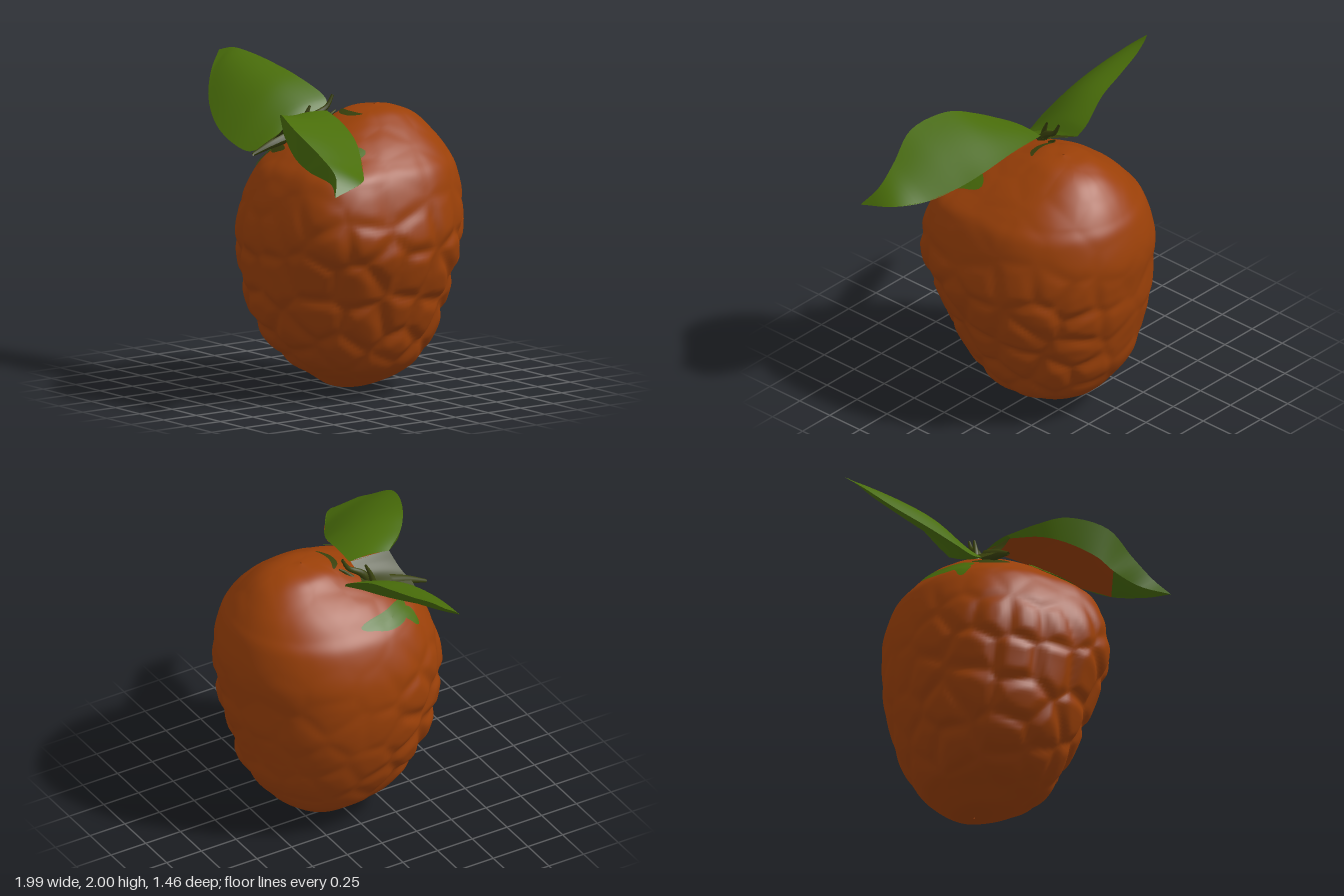
import * as THREE from 'three';

const V = (x, y, z) => new THREE.Vector3(x, y, z);
const spline = (pts) => new THREE.CatmullRomCurve3(pts.map((p) => V(...p)), false, 'centripetal');
const smooth = THREE.MathUtils.smoothstep;

// Fruit outline from bottom to top: y, xMin, xMax, zFront, zBack
const rings = [
  [0.0, 0.05, 0.06, -0.07, -0.08], [0.025, -0.06, 0.18, 0.07, -0.22], [0.1, -0.17, 0.36, 0.2, -0.35],
  [0.2, -0.28, 0.51, 0.36, -0.46], [0.4, -0.39, 0.61, 0.53, -0.59], [0.6, -0.46, 0.69, 0.61, -0.64],
  [0.8, -0.5, 0.76, 0.65, -0.69], [1.0, -0.51, 0.8, 0.68, -0.71], [1.2, -0.49, 0.77, 0.65, -0.73],
  [1.4, -0.42, 0.71, 0.56, -0.69], [1.5, -0.34, 0.63, 0.46, -0.64], [1.6, -0.24, 0.52, 0.32, -0.57],
  [1.7, -0.09, 0.38, 0.1, -0.47], [1.755, 0.0, 0.28, -0.04, -0.35], [1.78, 0.14, 0.15, -0.19, -0.2],
];
const xLimits = new THREE.CatmullRomCurve3(rings.map((r) => V(r[1], r[2], r[0])), false, 'catmullrom', 0.5);
const zLimits = new THREE.CatmullRomCurve3(rings.map((r) => V(r[3], r[4], r[0])), false, 'catmullrom', 0.5);

// Smooth body: the front left corner is round below and square above; the back is narrower
function bodyPoint(theta, v) {
  const a = xLimits.getPoint(v), b = zLimits.getPoint(v);
  const c = Math.cos(theta), s = Math.sin(theta);
  const square = 0.4 * smooth(a.z, 0.6, 1.35) * (1 - 0.7 * smooth(a.z, 1.4, 1.6)) - 0.1;
  const corner = c > 0 && s > 0 ? square * Math.min(1, 4 * c * s) : 0;
  const sq = (n) => Math.sign(n) * Math.abs(n) ** (0.88 - corner);
  const taper = s < 0 ? 1 - (c > 0 ? 0.16 : 0.1) * s * s : 1;
  return V((a.x + a.y) / 2 + (a.y - a.x) / 2 * sq(c) * taper, a.z, (b.x + b.y) / 2 + (b.x - b.y) / 2 * sq(s));
}

// Seeded, evenly spaced centres for the knobbly skin
let seed = 7;
const random = () => (seed = (seed * 16807) % 2147483647) / 2147483647;
const cells = [];
for (let i = 0; i < 1500; i++) {
  const p = bodyPoint(random() * Math.PI * 2, 0.08 + 0.84 * random());
  if (cells.every((c) => c.distanceTo(p) > 0.19)) cells.push(p);
}

// Body pushed out in soft cells with creases between them
function fruitPoint(theta, v, lift = 0) {
  const p = bodyPoint(theta, v);
  let d1 = 9, d2 = 9;
  for (const c of cells) {
    const d = c.distanceTo(p);
    if (d < d1) { d2 = d1; d1 = d; } else if (d < d2) d2 = d;
  }
  const relief = smooth(d2 - d1, -0.03, 0.15) - 0.6;
  const backRightSmooth = 1 - 0.75 * smooth(-p.x - p.z, 0.1, 0.6);
  const mask = (1 - 0.9 * smooth(p.y, 0.85, 1.4)) * smooth(p.y, 0.05, 0.4) * backRightSmooth;
  const out = V(p.x - 0.14, (p.y - 0.95) * 0.6, p.z + 0.03).normalize();
  return p.addScaledVector(out, 0.034 * relief * mask + lift);
}

// Grid surface from a function of (u, v); optionally closed around u
function surface(fn, nu, nv, closed = false) {
  const pos = [], index = [], w = closed ? nu : nu + 1;
  for (let j = 0; j <= nv; j++) for (let i = 0; i < w; i++) pos.push(...fn(i / nu, j / nv).toArray());
  for (let j = 0; j < nv; j++) for (let i = 0; i < nu; i++) {
    const a = j * w + i, b = j * w + (i + 1) % w;
    index.push(a, a + w, b, b, a + w, b + w);
  }
  const g = new THREE.BufferGeometry();
  g.setAttribute('position', new THREE.Float32BufferAttribute(pos, 3));
  g.setIndex(index);
  g.computeVertexNormals();
  return g;
}

// Curved sheet stretched between two edge curves, bulging by camber
function sheet(edgeA, edgeB, camber) {
  const a = spline(edgeA), b = spline(edgeB);
  return surface((u, v) => {
    const p = a.getPoint(u).lerp(b.getPoint(u), v);
    p.y += camber * Math.sin(Math.PI * v) * Math.sin(Math.PI * Math.min(1, u + 0.15));
    return p;
  }, 32, 14);
}

// Tube that narrows to its tip
function taperedTube(points, radius) {
  const curve = spline(points), n = 14;
  const g = new THREE.TubeGeometry(curve, n, radius, 8);
  const pos = g.attributes.position, p = V(0, 0, 0);
  for (let i = 0; i < pos.count; i++) {
    const t = Math.floor(i / 9) / n, c = curve.getPointAt(t);
    p.fromBufferAttribute(pos, i).sub(c).multiplyScalar(1 - 0.75 * t).add(c);
    pos.setXYZ(i, p.x, p.y, p.z);
  }
  g.computeVertexNormals();
  return g;
}

export function createModel() {
  const group = new THREE.Group();
  const mat = (name, color) => Object.assign(new THREE.MeshStandardMaterial({ color, side: THREE.DoubleSide }), { name });
  const orange = mat('orangeSkin', 0x9b4008);
  const green = mat('leafGreen', 0x496d0a);
  const olive = mat('darkOlive', 0x38400c);
  const add = (name, geometry, material) => {
    const mesh = new THREE.Mesh(geometry, material);
    mesh.name = name;
    group.add(mesh);
  };

  add('fruit', surface((u, v) => fruitPoint(u * Math.PI * 2, v), 180, 140, true), orange);

  // Right leaf: arched top and a shallow underside
  const rightBack = [[-0.14, 1.72, -0.05], [-0.2, 1.78, -0.07], [-0.4, 1.88, -0.02], [-0.6, 1.935, 0.01],
    [-0.8, 1.98, 0.05], [-0.93, 2, 0.1], [-1, 1.98, 0.15]];
  const rightFront = [[-0.19, 1.51, 0.44], [-0.27, 1.49, 0.47], [-0.42, 1.53, 0.49], [-0.6, 1.61, 0.47],
    [-0.8, 1.74, 0.38], [-0.93, 1.88, 0.26], [-1, 1.98, 0.15]];
  add('rightLeafTop', sheet(rightBack, rightFront, 0.09), green);
  add('rightLeafUnderside', sheet(rightBack, rightFront, -0.035), green);

  // Left leaf: top rising to a ridge, a lip curling down in front, skin-coloured beneath
  const leftBack = [[0.04, 1.75, 0.09], [0.25, 1.71, 0.13], [0.45, 1.64, 0.18], [0.6, 1.57, 0.25],
    [0.78, 1.5, 0.36], [0.94, 1.48, 0.49], [0.99, 1.42, 0.73]];
  const leftRidge = [[0.03, 1.74, 0.37], [0.15, 1.78, 0.53], [0.3, 1.82, 0.63], [0.55, 1.77, 0.71],
    [0.75, 1.64, 0.67], [0.9, 1.53, 0.66], [0.99, 1.42, 0.73]];
  const leftLip = [[0.05, 1.72, 0.38], [0.18, 1.7, 0.53], [0.32, 1.66, 0.61], [0.5, 1.58, 0.67],
    [0.62, 1.52, 0.66], [0.82, 1.47, 0.64], [0.99, 1.42, 0.73]];
  add('leftLeafTop', sheet(leftBack, leftRidge, 0.025), green);
  add('leftLeafLip', sheet(leftRidge, leftLip, 0), green);
  add('leftLeafUnderside', sheet(leftBack.slice(0, 5), leftLip.slice(0, 5), 0), orange);
  add('leftLeafTipUnderside', sheet(leftBack.slice(4), leftLip.slice(4), 0), green);

  // Calyx web joining the leaves, with its spike and stalks
  add('calyx', sheet(
    [[-0.14, 1.72, -0.05], [-0.1, 1.67, 0.09], [-0.03, 1.68, 0.12], [0.05, 1.75, 0.1]],
    [[-0.19, 1.51, 0.44], [-0.11, 1.55, 0.46], [-0.03, 1.62, 0.42], [0.05, 1.73, 0.38]],
    0.01), olive);
  const stalks = [
    [[[-0.07, 1.6, 0.3], [-0.07, 1.56, 0.44], [-0.08, 1.51, 0.57]], 0.045],
    [[[-0.06, 1.58, 0.2], [-0.05, 1.7, 0.13], [-0.03, 1.76, 0.04], [-0.025, 1.83, 0.0]], 0.035],
    [[[-0.09, 1.58, 0.2], [-0.08, 1.7, 0.17], [-0.07, 1.77, 0.14]], 0.03],
    [[[-0.04, 1.64, 0.1], [0.0, 1.71, 0.04], [0.01, 1.74, 0.0]], 0.022],
    [[[-0.05, 1.45, 0.22], [-0.06, 1.55, 0.24], [-0.07, 1.62, 0.26]], 0.07],
  ];
  stalks.forEach(([points, radius], i) => add('stalk' + (i + 1), taperedTube(points, radius), olive));

  // Thin stains on the skin under the leaves: angle, height, spans
  const stains = [
    [1.0, 0.745, 0.48, 0.042, green], [2.68, 0.71, 0.38, 0.034, green], [2.42, 0.675, 0.1, 0.035, green],
    [2.05, 0.735, 0.25, 0.018, olive], [1.6, 0.9, 0.6, 0.013, olive],
  ];
  stains.forEach(([angle, v0, da, dv, material], i) => add('stain' + (i + 1), surface((u, r) => {
    const t = u * Math.PI * 2, k = r * (1 + 0.15 * Math.sin(3 * t));
    return fruitPoint(angle + da * k * Math.cos(t), v0 + dv * k * Math.sin(t), 0.008);
  }, 28, 6, true), material));

  return group;
}
